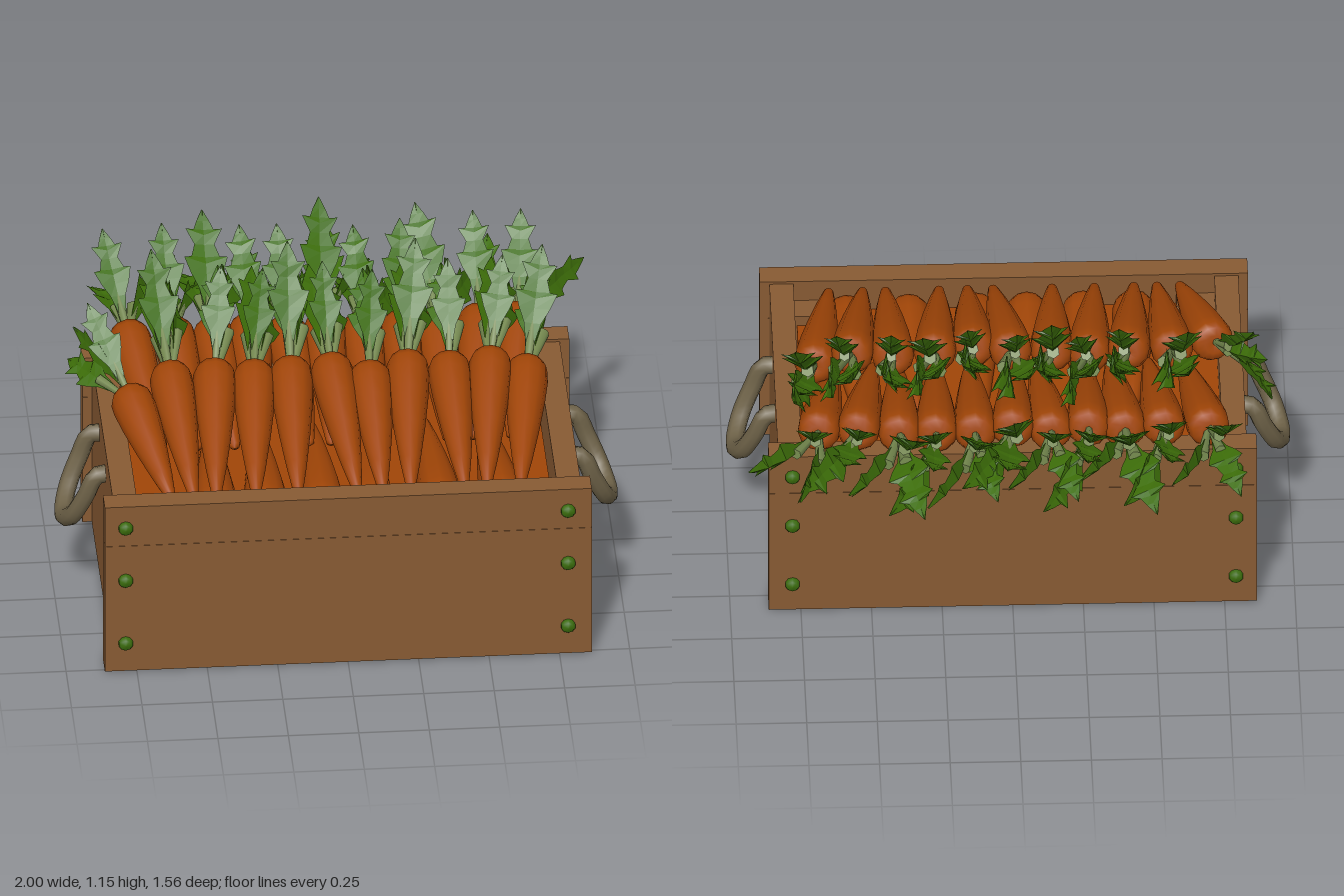
import * as THREE from 'three';

const mat = (name, color, extra = {}) => Object.assign(new THREE.MeshStandardMaterial({ color, ...extra }), { name });

export function createModel() {
  const wood = mat('wood', 0x875a33);
  const carrotMat = mat('carrot orange', 0xa04507);
  const leafMat = mat('leaf green', 0x3d6e09, { side: THREE.DoubleSide });
  const stemMat = mat('stem pale green', 0x74884e);
  const rope = mat('rope', 0x6e6248);
  const boltMat = mat('bolt green', 0x3a6b0c);

  const model = new THREE.Group();
  model.name = 'carrotCrate';
  const add = (parent, name, geo, material, x = 0, y = 0, z = 0) => {
    const m = new THREE.Mesh(geo, material);
    m.name = name;
    m.position.set(x, y, z);
    parent.add(m);
    return m;
  };
  // Box given by its lower and upper corners
  const slab = (name, material, x0, x1, y0, y1, z0, z1) =>
    add(model, name, new THREE.BoxGeometry(x1 - x0, y1 - y0, z1 - z0), material,
      (x0 + x1) / 2, (y0 + y1) / 2, (z0 + z1) / 2);

  // Crate boards
  for (const [name, z0, z1] of [['front', 0.685, 0.772], ['back', -0.342, -0.255]]) {
    slab(name + 'LowerPlank', wood, -0.864, 0.864, 0.008, 0.5225, z0, z1);
    slab(name + 'UpperPlank', wood, -0.864, 0.864, 0.5235, 0.684, z0, z1);
  }
  slab('rightSide', wood, -0.83, -0.745, 0.002, 0.674, -0.255, 0.685);
  slab('leftSide', wood, 0.745, 0.83, 0.002, 0.674, -0.255, 0.685);
  slab('floor', wood, -0.745, 0.745, 0.012, 0.08, -0.255, 0.685);
  slab('cornerPost', wood, -0.745, -0.61, 0.08, 0.6, 0.59, 0.685);
  slab('cornerPost', wood, 0.64, 0.745, 0.08, 0.6, 0.59, 0.685);
  // Buried carrots that fill the crate
  slab('carrotFill', carrotMat, -0.745, 0.735, 0.3, 0.56, -0.25, 0.59);
  slab('carrotFillFront', carrotMat, -0.61, 0.64, 0.3, 0.56, 0.59, 0.68);

  // Bolts on the front and back
  const boltGeo = new THREE.LatheGeometry([[0.026, 0], [0.026, 0.012], [0.019, 0.023], [0, 0.026]]
    .map(([r, y]) => new THREE.Vector2(r, y)), 10).rotateX(Math.PI / 2);
  for (const [z, turn] of [[0.77, 0], [-0.34, Math.PI]])
    for (const x of [-0.79, 0.78])
      for (const y of [0.123, 0.382, 0.598]) add(model, 'bolt', boltGeo, boltMat, x, y, z).rotation.y = turn;

  // Rope handles hanging outwards
  for (const s of [-1, 1]) {
    const pts = [[0.80, 0.57, 0.345], [0.86, 0.565, 0.352], [0.90, 0.48, 0.348], [0.945, 0.38, 0.31],
      [0.968, 0.33, 0.21], [0.945, 0.38, 0.11], [0.90, 0.48, 0.068], [0.86, 0.565, 0.064], [0.80, 0.57, 0.072]];
    const curve = new THREE.CatmullRomCurve3(pts.map(([x, y, z]) => new THREE.Vector3(s * x, y, z)));
    add(model, s < 0 ? 'rightHandle' : 'leftHandle', new THREE.TubeGeometry(curve, 28, 0.033, 8), rope);
  }

  // Carrot root: tip at the origin, growing along +y
  const L = 0.63;
  const rootGeo = new THREE.LatheGeometry([[0, 0], [0.018, 0.012], [0.036, 0.13], [0.056, 0.29], [0.071, 0.44],
    [0.077, 0.54], [0.075, 0.59], [0.062, 0.62], [0.035, 0.632], [0, 0.625]]
    .map(([r, y]) => new THREE.Vector2(r, y)), 12);

  // Lobed leaf: thick folded cross-sections along +y, bending towards +z
  function makeLeaf(bend) {
    const rows = [[0.08, 0.016], [0.15, 0.03], [0.2, 0.055], [0.235, 0.074], [0.26, 0.048], [0.305, 0.034],
      [0.335, 0.062], [0.355, 0.034], [0.385, 0.022], [0.425, 0.002]];
    const pos = [], idx = [];
    rows.forEach(([y, w], i) => {
      const c = bend * y * y, t = 0.18 * w + 0.004;
      const tip = i === 3 || i === 6 ? 0.02 : 0; // lobes sweep forward
      pos.push(-w, y + tip, c + w * 0.4, 0, y, c + t, w, y + tip, c + w * 0.4, 0, y, c - t);
      if (i) for (let k = 0; k < 4; k++) {
        const a = (i - 1) * 4 + k, b = (i - 1) * 4 + (k + 1) % 4;
        idx.push(a, b, b + 4, a, b + 4, a + 4);
      }
    });
    const g = new THREE.BufferGeometry();
    g.setAttribute('position', new THREE.Float32BufferAttribute(pos, 3));
    g.setIndex(idx);
    const flat = g.toNonIndexed(); // crisp facets
    flat.computeVertexNormals();
    return flat;
  }
  const leafUp = makeLeaf(0.5), leafDown = makeLeaf(-0.45);
  const stemGeo = new THREE.CylinderGeometry(0.024, 0.013, 0.17, 6).translate(0, 0.085, 0);

  let seed = 7;
  const rnd = (a, b) => {
    seed = (seed * 16807) % 2147483647;
    return a + (b - a) * seed / 2147483647;
  };

  // One carrot from tip to head, with leaves given as [pitch, yaw, roll, bends up, scale]
  function carrot(name, tip, head, leaves) {
    const g = new THREE.Group();
    g.name = name;
    const d = new THREE.Vector3(...head).sub(new THREE.Vector3(...tip));
    g.position.set(...tip);
    g.quaternion.setFromUnitVectors(new THREE.Vector3(0, 1, 0), d.clone().normalize());
    add(g, 'root', rootGeo, carrotMat).scale.y = d.length() / L;
    for (const [pitch, yaw, roll, up, size] of leaves) {
      const f = new THREE.Group();
      f.name = 'frond';
      f.position.set(-yaw * 0.03, d.length() - 0.01, pitch * 0.03);
      f.rotation.set(pitch, roll, yaw, 'ZXY');
      f.scale.setScalar(size);
      add(f, 'stem', stemGeo, stemMat);
      add(f, 'leaf', up ? leafUp : leafDown, leafMat);
      g.add(f);
    }
    model.add(g);
  }

  // Buried layer, thick ends against the front board
  for (const x of [-0.46, -0.28, -0.08, 0.1, 0.34, 0.56])
    carrot('buriedCarrot', [x * 0.95, 0.56, 0.06], [x, 0.575, 0.675], []);

  // Front row: head x, tip x
  const front = [[-0.73, -0.62], [-0.58, -0.54], [-0.42, -0.46], [-0.28, -0.32], [-0.15, -0.17], [-0.01, 0.04],
    [0.125, 0.13], [0.265, 0.23], [0.41, 0.42], [0.56, 0.5], [0.69, 0.62]];
  front.forEach(([hx, tx], i) => {
    const first = i === 0;
    const s = i % 2 ? 1 : -1;
    const tall = [1, 4, 7, 10].includes(i) ? 1.02 : 0.84;
    carrot('frontCarrot', [tx, 0.65, 0.67],
      [hx, first || i === 10 ? 0.775 : 0.81 + rnd(-0.01, 0.01), first ? 0.15 : i === 6 ? 0.1 : 0.055], [
        [0.34 + rnd(-0.06, 0.06), rnd(-0.1, 0.1), rnd(-0.3, 0.3), true, tall],
        [0.02 + rnd(-0.08, 0.08), s * 0.12 + (first ? 0.6 : 0), s * 0.5, !first, first ? 0.82 : 0.98],
        [0.12 + rnd(-0.08, 0.08), first ? 0.1 : -0.25, s * 1.25, s < 0, first ? 0.8 : 1.0],
      ]);
  });

  // Back row, lying lower
  const back = [-0.7, -0.54, -0.4, -0.27, -0.14, 0.0, 0.13, 0.27, 0.4, 0.55, 0.69];
  back.forEach((hx, i) => {
    const s = i % 2 ? -1 : 1;
    const last = i === 10;
    carrot('backCarrot', [hx * 0.92 + rnd(-0.03, 0.03), 0.61, 0.28], [hx, 0.757 + rnd(-0.015, 0.01), -0.325], [
      [0.16 + rnd(-0.05, 0.08), rnd(-0.1, 0.1), rnd(-0.3, 0.3), true, i % 3 === 2 ? 1.06 : 0.9],
      [-0.1, s * 0.1 + (last ? -0.5 : 0), last ? 1.1 : s * 0.4, last || i % 2 === 1, i % 3 === 2 ? 1.06 : 0.86],
      [-0.25 + rnd(-0.1, 0.2), last ? 0.1 : -0.25, s * 1.2, s > 0, 0.95],
    ]);
  });
  return model;
}
